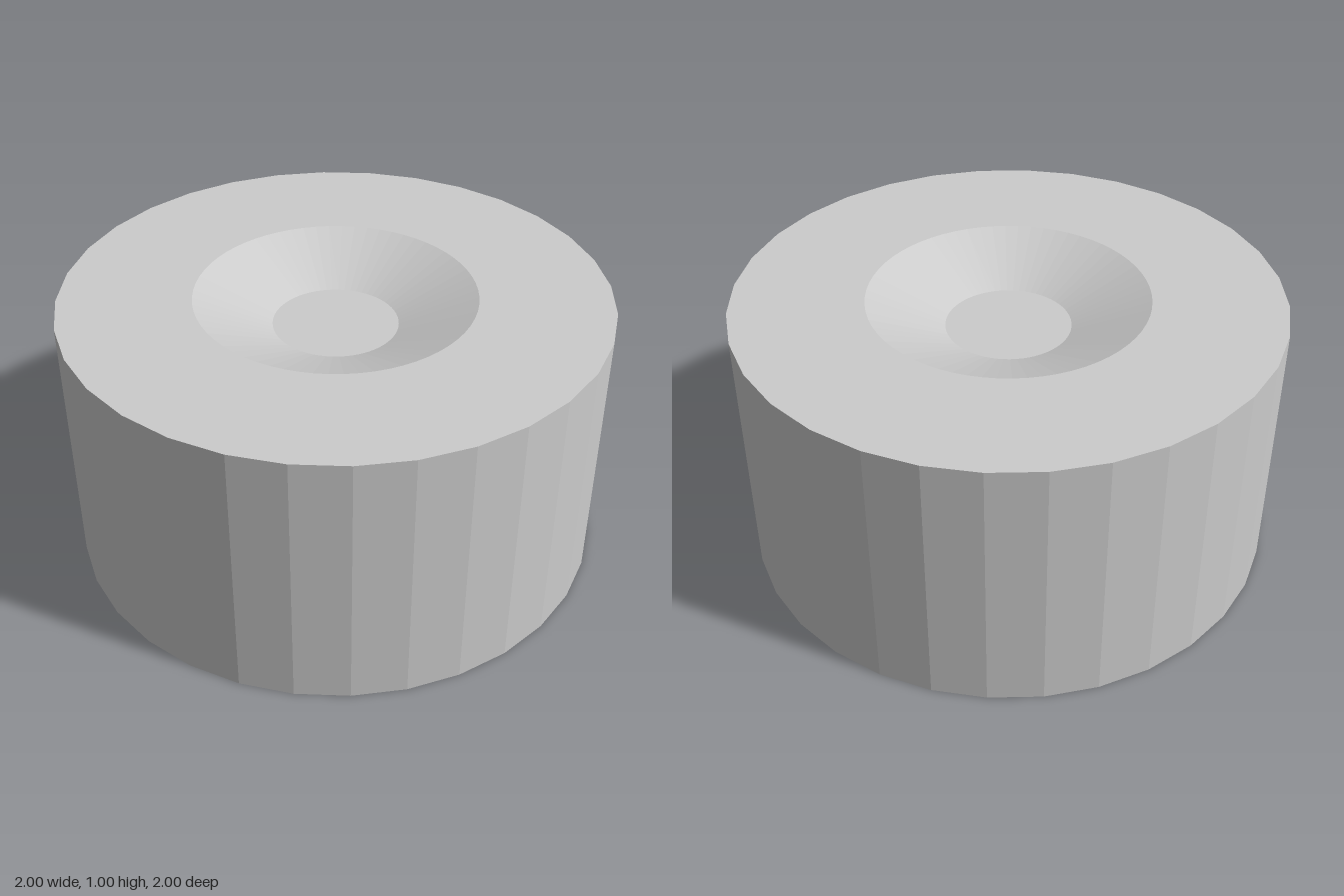
import * as THREE from 'three';

const RADIUS = 1, HEIGHT = 1;
const RIM = 0.515, FLOOR = 0.23, DEPTH = 0.12;
const SIDES = 32, BOWL_SIDES = 64;

// Corners of a regular polygon
function polygon(radius, sides) {
  return Array.from({ length: sides }, (_, i) => {
    const a = (i / sides) * Math.PI * 2;
    return new THREE.Vector2(radius * Math.cos(a), radius * Math.sin(a));
  });
}

function lathe(profile, sides) {
  return new THREE.LatheGeometry(profile.map(([r, y]) => new THREE.Vector2(r, y)), sides);
}

export function createModel() {
  const group = new THREE.Group();
  group.name = 'recessedCylinder';
  const material = new THREE.MeshStandardMaterial({ color: 0xcccccc, flatShading: true });

  function add(name, geometry) {
    const mesh = new THREE.Mesh(geometry, material);
    mesh.name = name;
    group.add(mesh);
  }

  // Faceted outer wall with closed base
  add('body', lathe([[0, 0], [RADIUS, 0], [RADIUS, HEIGHT]], SIDES));

  // Flat top with a round opening
  const top = new THREE.Shape(polygon(RADIUS, SIDES));
  top.holes.push(new THREE.Path(polygon(RIM, BOWL_SIDES)));
  add('topFace', new THREE.ShapeGeometry(top).rotateX(-Math.PI / 2).translate(0, HEIGHT, 0));

  // Conical recess with a flat floor
  add('recess', lathe([[RIM, HEIGHT], [FLOOR, HEIGHT - DEPTH], [0, HEIGHT - DEPTH]], BOWL_SIDES));

  return group;
}
